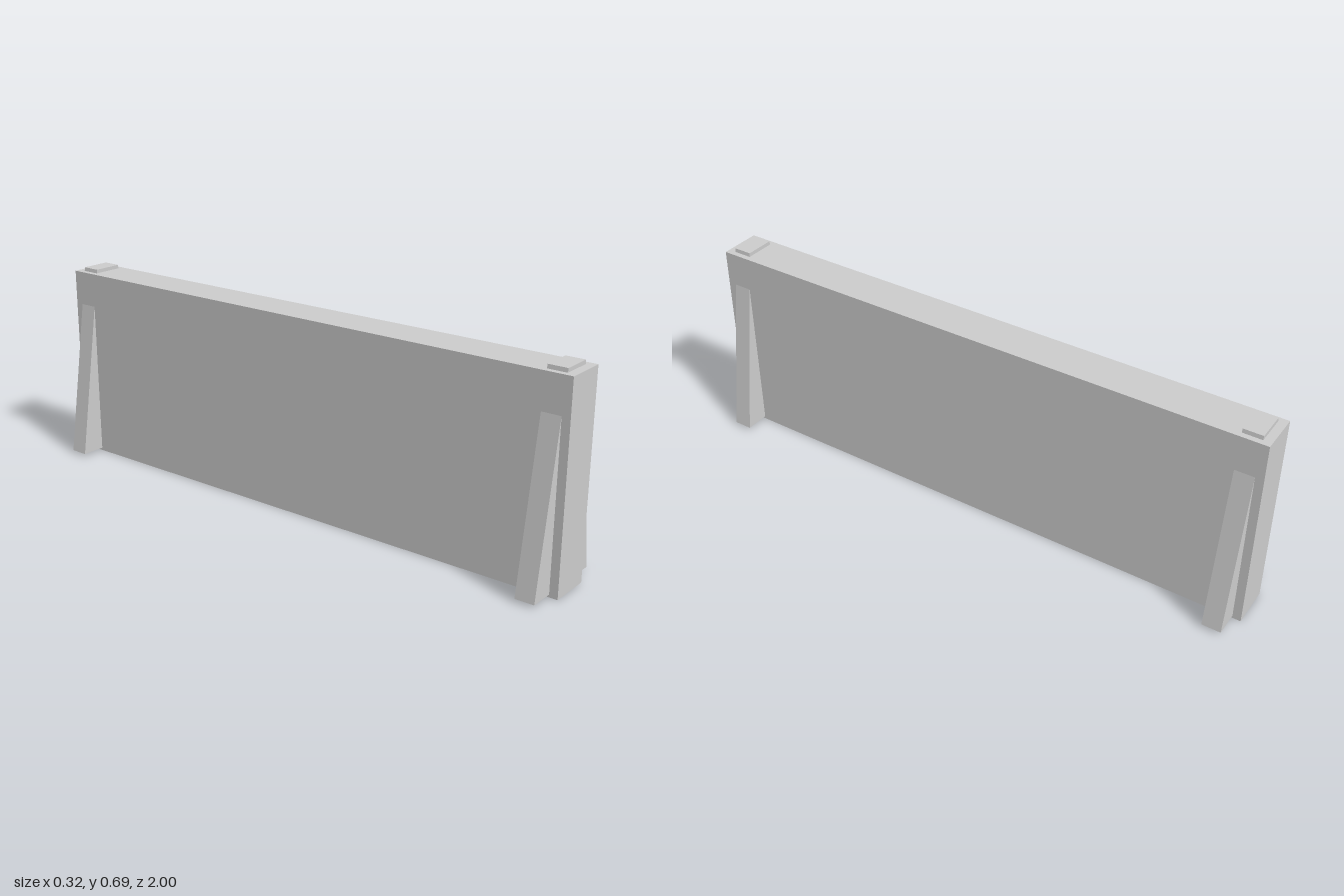
import * as THREE from 'three';

export function createModel() {
  const model = new THREE.Group();
  model.name = 'barrier';
  const material = new THREE.MeshStandardMaterial({ color: 0xcccccc, flatShading: true });

  // Long upright wall slab
  const wall = new THREE.Mesh(new THREE.BoxGeometry(0.144, 0.673, 2), material);
  wall.name = 'wall';
  wall.position.y = 0.673 / 2;
  model.add(wall);

  // Tapered brace running through the slab, its top standing proud as a small cap
  const profile = new THREE.Shape([
    new THREE.Vector2(-0.158, 0.009),
    new THREE.Vector2(0.158, 0.009),
    new THREE.Vector2(0.051, 0.686),
    new THREE.Vector2(-0.051, 0.686),
  ]);
  const depth = 0.064;
  const braceGeometry = new THREE.ExtrudeGeometry(profile, { depth, bevelEnabled: false });
  braceGeometry.translate(0, 0, -depth / 2);

  // One brace near each end
  for (const [name, side] of [['frontBrace', 1], ['backBrace', -1]]) {
    const brace = new THREE.Mesh(braceGeometry, material);
    brace.name = name;
    brace.position.z = side * 0.94;
    model.add(brace);
  }

  return model;
}
